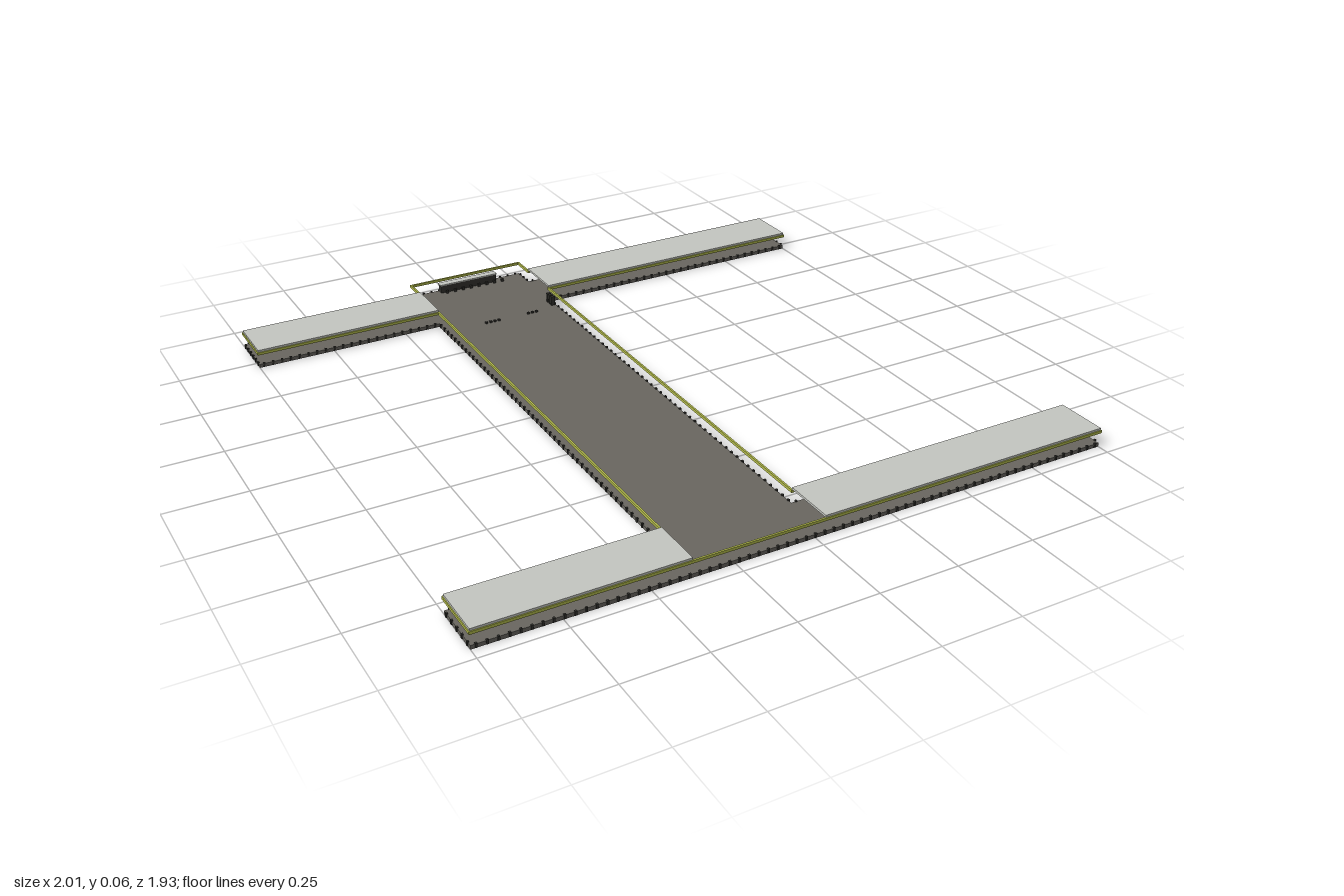
import * as THREE from 'three';
import { mergeGeometries } from 'three/addons/utils/BufferGeometryUtils.js';

const mat = (name, color) => {
  const m = new THREE.MeshStandardMaterial({ color });
  m.name = name;
  return m;
};

// Box from its low and high corners
function span(x0, x1, y0, y1, z0, z1) {
  return new THREE.BoxGeometry(x1 - x0, y1 - y0, z1 - z0)
    .translate((x0 + x1) / 2, (y0 + y1) / 2, (z0 + z1) / 2);
}

export function createModel() {
  const group = new THREE.Group();
  const stone = mat('warm grey floor', 0x6a6761);
  const pale = mat('pale grey roof', 0xc6c8c2);
  const lime = mat('yellow green trim', 0xb4bc4c);
  const dark = mat('charcoal fittings', 0x34332f);
  const add = (name, geometry, material) => {
    const mesh = new THREE.Mesh(geometry, material);
    mesh.name = name;
    group.add(mesh);
  };

  // Plan: a corridor crossed by a front and a back wing
  const xl = -0.38, xr = 0.03;
  const wings = [[-0.88, -0.715], [0.8, 0.962]];
  const plan = [
    [xl, -0.962], [xr, -0.962], [xr, -0.88], [1, -0.88], [1, -0.715], [xr, -0.715],
    [xr, 0.8], [1, 0.8], [1, 0.962], [-1, 0.962], [-1, 0.8], [xl, 0.8],
    [xl, -0.715], [-1, -0.715], [-1, -0.88], [xl, -0.88],
  ];

  // Floor slab
  const shape = new THREE.Shape(plan.map(([x, z]) => new THREE.Vector2(x, -z)));
  const slab = new THREE.ExtrudeGeometry(shape, { depth: 0.012, bevelEnabled: false });
  add('floorSlab', slab.rotateX(-Math.PI / 2), stone);

  // Raised trim and small floor studs following the outline
  const trim = [], studs = [];
  const t = 0.003;
  plan.forEach(([x0, z0], i) => {
    const [x1, z1] = plan[(i + 1) % plan.length];
    trim.push(span(Math.min(x0, x1) - t, Math.max(x0, x1) + t, 0.046, 0.055,
      Math.min(z0, z1) - t, Math.max(z0, z1) + t));
    const n = Math.max(2, Math.round(Math.hypot(x1 - x0, z1 - z0) / 0.03));
    for (let k = 0; k < n; k++) {
      const x = x0 + (x1 - x0) * (k + 0.5) / n;
      const z = z0 + (z1 - z0) * (k + 0.5) / n;
      studs.push(span(x - 0.003, x + 0.003, 0.002, 0.016, z - 0.003, z + 0.003));
    }
  });
  add('upperTrim', mergeGeometries(trim), lime);
  add('edgeStuds', mergeGeometries(studs), dark);

  // Four flat wing roofs
  for (const [z0, z1] of wings) {
    add('wingRoof', span(-1, xl, 0.055, 0.062, z0, z1), pale);
    add('wingRoof', span(xr, 1, 0.055, 0.062, z0, z1), pale);
  }

  // Row of panels under one back wing
  const panels = [];
  for (let i = 0; i < 24; i++) {
    const x = -0.95 + i * 0.0238;
    panels.push(span(x, x + 0.019, 0.012, 0.044, -0.875, -0.855));
  }
  add('wingPanels', mergeGeometries(panels), pale);

  // Counter at the back end, with a pale top
  add('counter', span(-0.28, -0.07, 0.012, 0.039, -0.958, -0.937), dark);
  add('counterTop', span(-0.282, -0.068, 0.039, 0.043, -0.96, -0.935), pale);
  const stools = [];
  for (let i = 0; i < 8; i++) {
    const x = -0.265 + i * 0.03;
    stools.push(span(x, x + 0.009, 0.012, 0.022, -0.931, -0.925));
  }
  add('stools', mergeGeometries(stools), dark);

  // Short rows of posts across the corridor and beside its edge
  const posts = [];
  for (const x of [-0.24, -0.225, -0.21, -0.195, -0.085, -0.07, -0.055]) {
    posts.push(span(x - 0.004, x + 0.004, 0.012, 0.018, -0.643, -0.636));
  }
  for (const z of [-0.695, -0.68, -0.665]) {
    posts.push(span(0.013, 0.027, 0.012, 0.044, z - 0.005, z + 0.005));
  }
  add('corridorPosts', mergeGeometries(posts), dark);

  return group;
}
